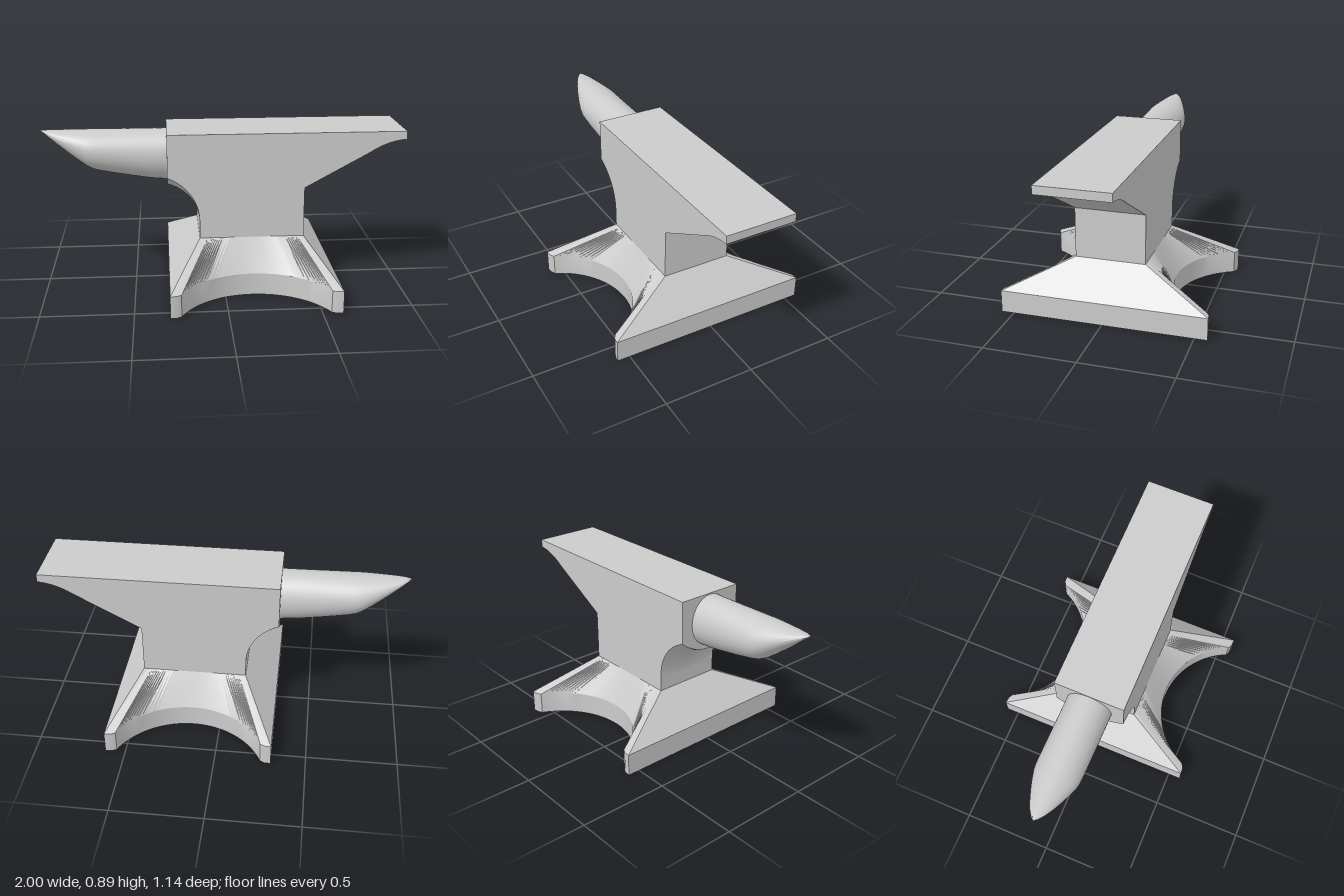
import * as THREE from 'three';
import { toCreasedNormals } from 'three/addons/utils/BufferGeometryUtils.js';

const material = new THREE.MeshStandardMaterial({ color: 0xcccccc });

function part(name, geometry, crease) {
  const mesh = new THREE.Mesh(toCreasedNormals(geometry, crease), material);
  mesh.name = name;
  return mesh;
}

// Skins equal-length loops of [x, y, z] that follow each other along +x.
// capQuads lists the corner indices that close both ends.
function loft(loops, capQuads = []) {
  const positions = [];
  const quad = (a, b, c, d) => positions.push(...a, ...b, ...c, ...a, ...c, ...d);
  for (let i = 0; i < loops.length - 1; i++) {
    const s = loops[i], e = loops[i + 1], n = s.length;
    for (let j = 0; j < n; j++) {
      const k = (j + 1) % n;
      quad(s[j], e[j], e[k], s[k]);
    }
  }
  const first = loops[0], last = loops[loops.length - 1];
  for (const [a, b, c, d] of capQuads) {
    quad(first[a], first[b], first[c], first[d]);
    quad(last[d], last[c], last[b], last[a]);
  }
  const geometry = new THREE.BufferGeometry();
  geometry.setAttribute('position', new THREE.Float32BufferAttribute(positions, 3));
  return geometry;
}

// Waist, face and heel: one extruded side profile
function bodyGeometry() {
  const half = 0.195;
  const shape = new THREE.Shape();
  shape.moveTo(-0.31, 0.895);
  shape.lineTo(-0.31, 0.655);
  shape.bezierCurveTo(-0.22, 0.62, -0.135, 0.53, -0.135, 0.4);
  shape.lineTo(-0.135, 0.305);
  shape.lineTo(0.445, 0.305);
  shape.lineTo(0.445, 0.585);
  shape.lineTo(0.8, 0.78);
  shape.quadraticCurveTo(0.9, 0.845, 1, 0.85);
  shape.lineTo(1, 0.895);
  shape.closePath();
  const geometry = new THREE.ExtrudeGeometry(shape, {
    depth: 2 * half, steps: 16, bevelEnabled: false, curveSegments: 16,
  });
  geometry.translate(0, 0, -half);
  // The throat under the horn bulges down towards the middle
  const p = geometry.attributes.position;
  for (let i = 0; i < p.count; i++) {
    const y = p.getY(i);
    if (p.getX(i) > -0.13 || y > 0.7) continue;
    const bulge = 1 - (p.getZ(i) / half) ** 2;
    p.setY(i, y - 0.08 * bulge * (y - 0.305) / 0.35);
  }
  return geometry;
}

// Horn: ellipses under a level top line, shrinking to a point
function hornGeometry() {
  // x, bottom y, half width
  const stations = [
    [-1, 0.884, 0.001], [-0.985, 0.873, 0.018], [-0.95, 0.846, 0.043],
    [-0.9, 0.803, 0.067], [-0.85, 0.762, 0.087], [-0.8, 0.722, 0.105],
    [-0.75, 0.685, 0.12], [-0.72, 0.669, 0.125], [-0.68, 0.657, 0.126],
    [-0.6, 0.641, 0.126], [-0.5, 0.623, 0.126], [-0.4, 0.607, 0.126], [-0.3, 0.598, 0.126],
  ];
  const sides = 40, top = 0.888;
  return loft(stations.map(([x, bottom, w]) =>
    Array.from({ length: sides }, (_, j) => {
      const t = (j / sides) * Math.PI * 2;
      return [x, (top + bottom) / 2 - (top - bottom) / 2 * Math.cos(t), w * Math.sin(t)];
    })));
}

// Foot: a slab with a round bite front and back, tapering up to the waist
function footGeometry() {
  const middle = 0.15, radius = 0.44, arcHalf = 0.4, segments = 40;
  const outline = [[-0.31, 0.57], [-0.275, 0.567]];
  for (let i = 0; i <= segments; i++) {
    const a = (i / segments * 2 - 1) * Math.asin(arcHalf / radius);
    outline.push([middle + radius * Math.sin(a), 0.297 + radius * (1 - Math.cos(a))]);
  }
  outline.push([0.575, 0.567], [0.61, 0.57]);
  const loops = outline.map(([x, z]) => {
    const topX = -0.135 + (x + 0.31) / 0.92 * 0.58;
    return [
      [x, 0, -z], [x, 0, z], [x, 0.125, z],
      [topX, 0.305, 0.195], [topX, 0.305, -0.195], [x, 0.125, -z],
    ];
  });
  return loft(loops, [[0, 1, 2, 5], [2, 3, 4, 5]]);
}

export function createModel() {
  const group = new THREE.Group();
  group.name = 'anvil';
  group.add(
    part('body', bodyGeometry(), 0.5),
    part('horn', hornGeometry(), 1.0),
    part('foot', footGeometry(), 0.45),
  );
  return group;
}
